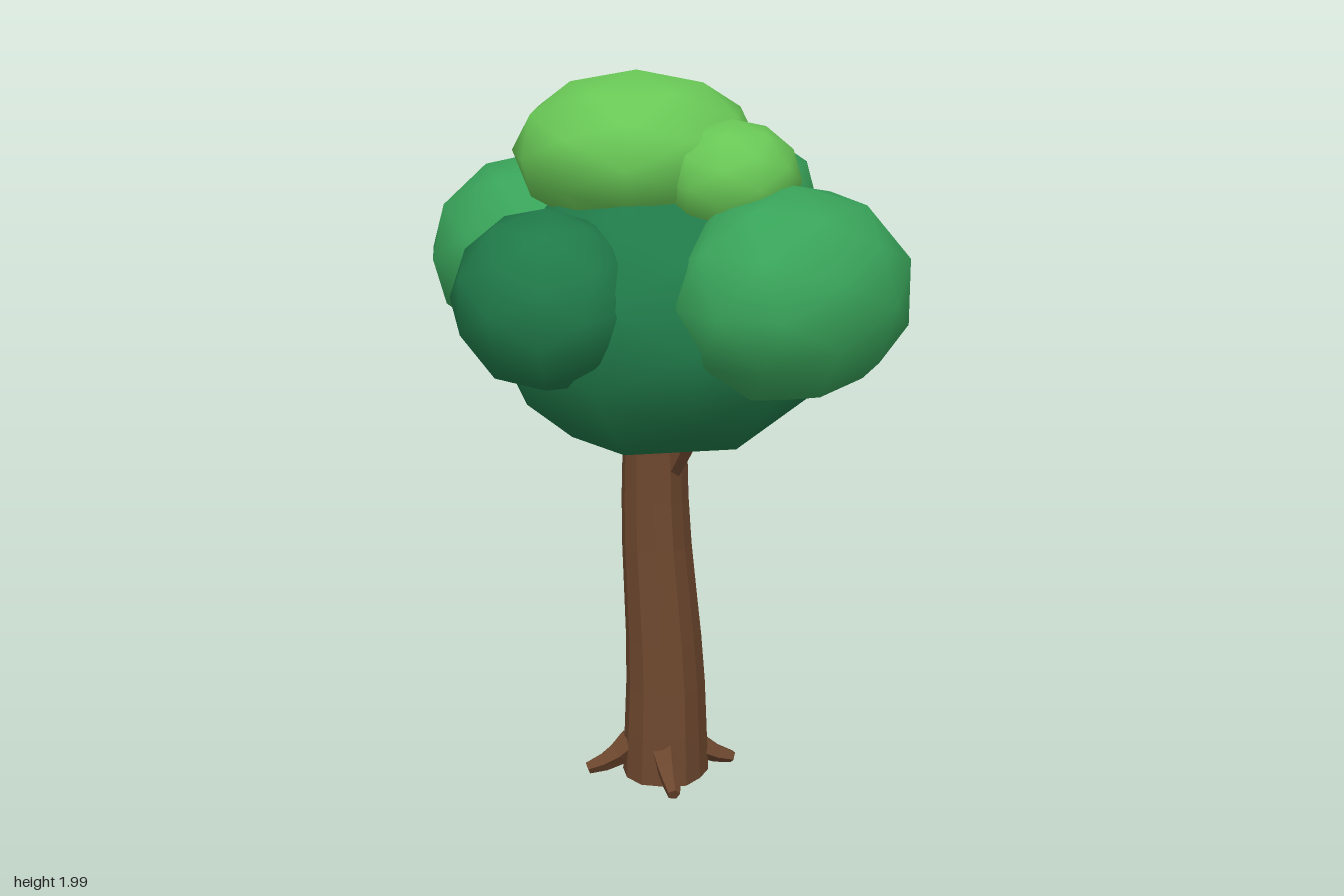
import * as THREE from 'three';
import { mergeVertices } from 'three/addons/utils/BufferGeometryUtils.js';

const flat = (name, color, flatShading = false) => {
  const m = new THREE.MeshStandardMaterial({ color, flatShading });
  m.name = name;
  return m;
};

// Faceted ellipsoid with smooth normals; `turn` swings its long axis, `floor` flattens the underside
function leafBall(center, radii, yaw, turn = 0, floor = -Infinity) {
  let geo = new THREE.IcosahedronGeometry(1, 1);
  geo.deleteAttribute('uv');
  geo.deleteAttribute('normal');
  geo = mergeVertices(geo, 1e-3);
  geo.rotateY(yaw).scale(...radii).rotateY(turn).translate(...center);
  const p = geo.attributes.position;
  for (let i = 0; i < p.count; i++) p.setY(i, Math.max(floor, p.getY(i)));
  geo.computeVertexNormals();
  return geo;
}

// Gentle lean of the trunk centre line
const leanX = (y) => 0.012 - 0.03 * THREE.MathUtils.smoothstep(y, 0.25, 0.85);
const leanZ = (y) => -0.016 * THREE.MathUtils.smoothstep(y, 0.1, 0.9);

function trunkGeometry() {
  const geo = new THREE.CylinderGeometry(1, 1, 1.1, 12, 8);
  geo.translate(0, 0.558, 0);
  const p = geo.attributes.position;
  for (let i = 0; i < p.count; i++) {
    const x = p.getX(i), y = p.getY(i), z = p.getZ(i);
    const a = Math.atan2(z, x);
    const r = (0.089 + 0.034 * Math.pow(1 - Math.min(y, 1), 1.2)) * (1 + 0.04 * Math.cos(a * 5 + 1));
    p.setXYZ(i, x * r + leanX(y), y, z * r + leanZ(y));
  }
  geo.computeVertexNormals();
  return geo;
}

// Tapered limb along a curve
function limb(points, r0, r1) {
  const curve = new THREE.CatmullRomCurve3(points.map((q) => new THREE.Vector3(...q)));
  const seg = 3, sides = 5;
  const geo = new THREE.TubeGeometry(curve, seg, 1, sides, false);
  const p = geo.attributes.position;
  const c = new THREE.Vector3(), v = new THREE.Vector3();
  for (let i = 0; i < p.count; i++) {
    const t = Math.floor(i / (sides + 1)) / seg;
    curve.getPointAt(t, c);
    v.fromBufferAttribute(p, i).sub(c).multiplyScalar(THREE.MathUtils.lerp(r0, r1, t)).add(c);
    p.setXYZ(i, v.x, Math.max(0, v.y), v.z);
  }
  // Close the outer end with a fan
  const index = Array.from(geo.index.array);
  const last = seg * (sides + 1);
  for (let j = 1; j < sides - 1; j++) index.push(last, last + j, last + j + 1);
  geo.setIndex(index);
  geo.computeVertexNormals();
  return geo;
}

export function createModel() {
  const tree = new THREE.Group();
  tree.name = 'tree';
  const bark = flat('bark brown', 0x6d472e, true);
  bark.side = THREE.DoubleSide;
  const dark = flat('dark leaf green', 0x207a49);
  const mid = flat('middle leaf green', 0x39a45a);
  const light = flat('light leaf green', 0x69c856);

  const add = (name, geo, mat) => {
    const mesh = new THREE.Mesh(geo, mat);
    mesh.name = name;
    tree.add(mesh);
  };

  add('trunk', trunkGeometry(), bark);

  // Four roots at the foot
  for (let i = 0; i < 4; i++) {
    const a = -0.2 + i * Math.PI / 2;
    const dx = Math.cos(a), dz = Math.sin(a);
    add('root', limb([
      [dx * 0.085, 0.1, dz * 0.085],
      [dx * 0.14, 0.055, dz * 0.14],
      [dx * 0.212, 0.028, dz * 0.212]], 0.046, 0.018), bark);
  }

  // Two short branches under the crown
  for (const s of [1, -1]) {
    const at = (d, y) => [leanX(1) + s * d, y, leanZ(1) + s * d];
    add('branch', limb([at(0.045, 0.92), at(0.075, 0.99), at(0.1, 1.05)], 0.03, 0.034), bark);
  }

  // Crown
  add('crownCore', leafBall([0.01, 1.36, 0], [0.485, 0.4, 0.495], 0.2, 0, 0.99), dark);
  add('frontRightLeaves', leafBall([-0.285, 1.445, 0.262], [0.275, 0.24, 0.235], 0.15, -0.785), dark);
  add('frontLeftLeaves', leafBall([0.342, 1.465, 0.255], [0.365, 0.28, 0.295], 0.1, 0.93), mid);
  add('backRightLeaves', leafBall([-0.32, 1.475, -0.255], [0.335, 0.28, 0.35], -0.15), mid);
  add('backLeftLeaves', leafBall([0.125, 1.6, -0.295], [0.325, 0.24, 0.305], 0.3, -0.6, 1.42), mid);
  add('topLeaves', leafBall([-0.065, 1.785, -0.05], [0.335, 0.215, 0.345], -0.05), light);
  add('smallTopLeaves', leafBall([0.185, 1.74, 0.13], [0.185, 0.155, 0.2], 0.4), light);
  return tree;
}
